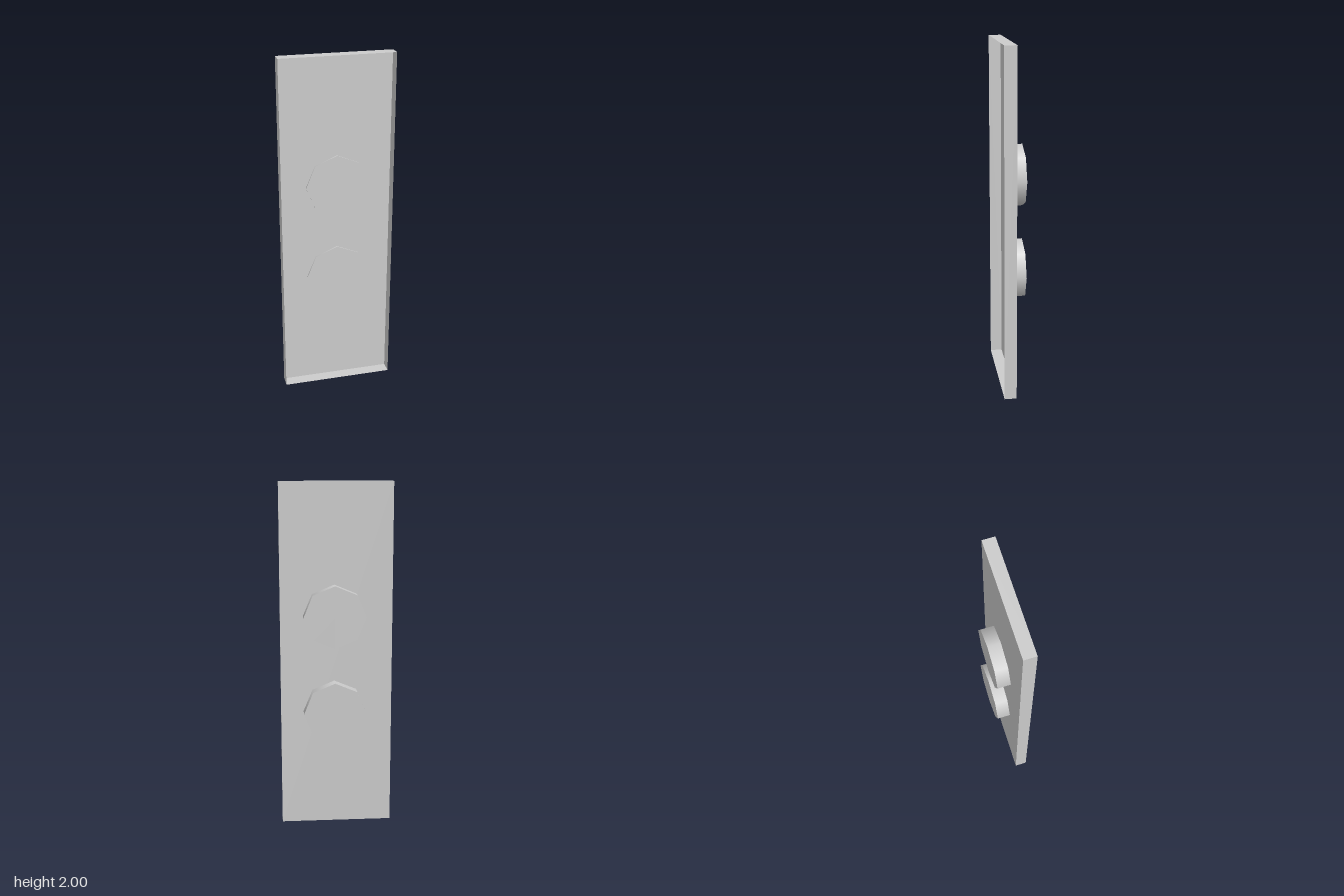
import * as THREE from 'three';

export function createModel() {
  const group = new THREE.Group();
  const material = new THREE.MeshStandardMaterial({ color: 0xcccccc, side: THREE.DoubleSide });

  // Shallow tray: a thin-walled box with its front (+z) face left out
  const depth = 0.07, backZ = 0.003;
  const trayGeometry = new THREE.BoxGeometry(0.645, 2, depth);
  const faces = Array.from(trayGeometry.index.array);
  faces.splice(24, 6);
  trayGeometry.setIndex(faces);
  trayGeometry.clearGroups();
  const tray = new THREE.Mesh(trayGeometry, material);
  tray.name = 'panelTray';
  tray.position.set(0, 1, backZ + depth / 2);
  group.add(tray);

  // Two eight-sided knobs on the back, their inner ends just proud of the tray floor
  const knobFront = 0.01, knobBack = -0.073;
  const knobGeometry = new THREE.CylinderGeometry(0.18, 0.18, knobFront - knobBack, 8);
  knobGeometry.rotateX(Math.PI / 2);
  [['lowerKnob', 0.685], ['upperKnob', 1.245]].forEach(([name, y]) => {
    const knob = new THREE.Mesh(knobGeometry, material);
    knob.name = name;
    knob.position.set(0.012, y, (knobFront + knobBack) / 2);
    group.add(knob);
  });

  return group;
}
